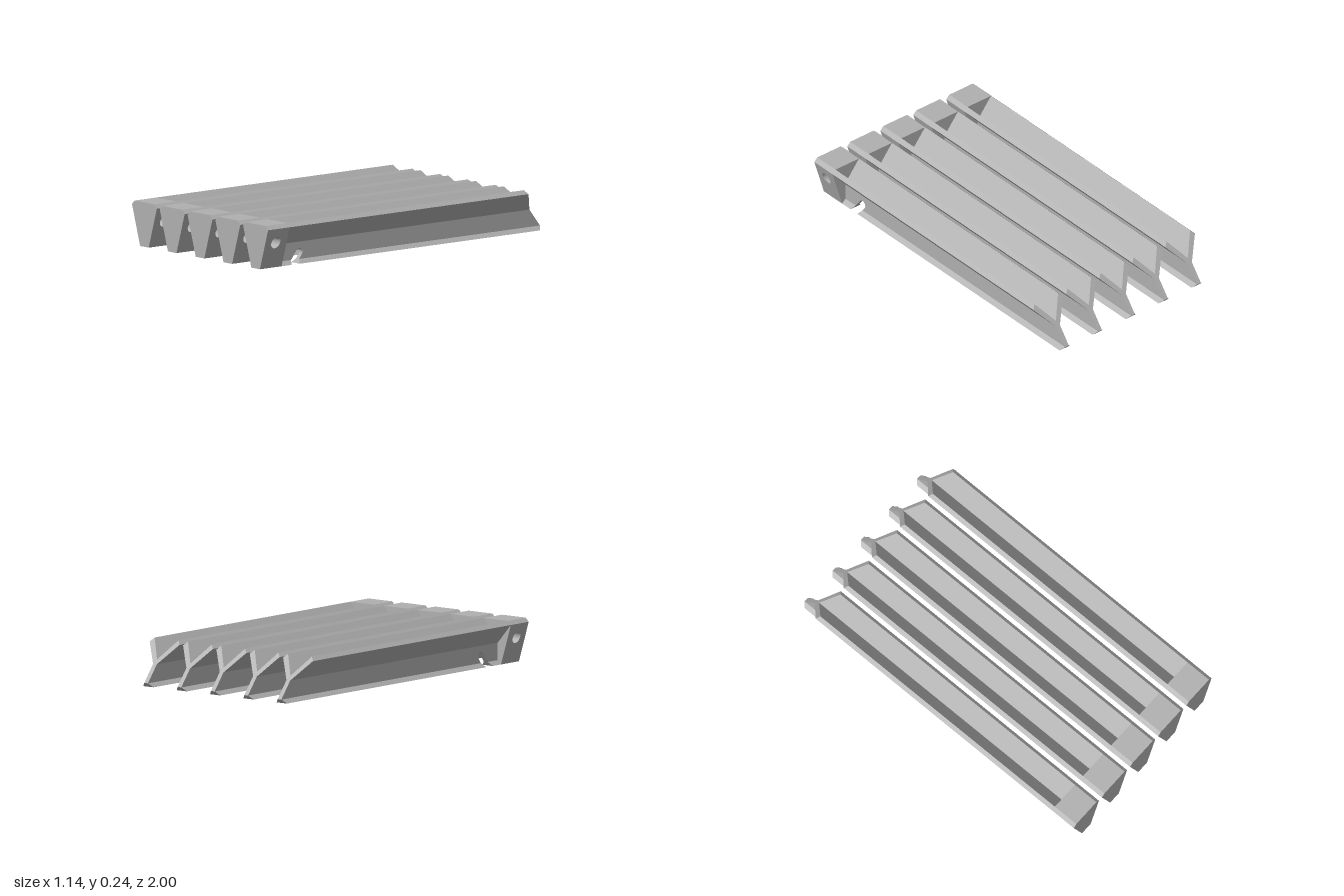
import * as THREE from 'three';

const HEAD_BACK = 0.847, FRONT = 1;
const Y_FOOT = 0.022, Y_FORK = 0.117, Y_RIM = 0.222, Y_TOP = 0.243;
const FOOT_W = 0.036, STEM_W = 0.013, RIM_W = 0.104, TOP_W = 0.083;
const SLOT = { z: 0.703, y: 0.06, r: 0.023, tilt: Math.atan2(0.6, 0.8) };

// slanted tail cut and the two edges of the tilted slot
const tailZ = y => -1 + (y - Y_FOOT) * 0.79;
const slotZ = (y, side) => SLOT.z + side * SLOT.r / 0.8 - (y - SLOT.y) * 0.75;

const polygon = pts => new THREE.Shape(pts.map(p => new THREE.Vector2(p[0], p[1])));

// extrude a shape by one unit, then move each vertex by a rule
function extrudeBy(shape, rule) {
  const geo = new THREE.ExtrudeGeometry(shape, { depth: 1, bevelEnabled: false, curveSegments: 12 });
  const p = geo.attributes.position;
  for (let i = 0; i < p.count; i++) p.setXYZ(i, ...rule(p.getX(i), p.getY(i), p.getZ(i)));
  geo.computeVertexNormals();
  return geo;
}

// side outline in (z, y), spread across x with a half width going from w0 at y0 to w1 at y1
function layer(shape, y0, w0, y1, w1) {
  return extrudeBy(shape, (z, y, t) => [(1 - 2 * t) * (w0 + (w1 - w0) * (y - y0) / (y1 - y0)), y, z]);
}

function box(y0, y1) {
  return polygon([[HEAD_BACK, y0], [FRONT, y0], [FRONT, y1], [HEAD_BACK, y1]]);
}

function barParts() {
  // solid tapered head with a cross hole
  const headSide = box(0, Y_RIM);
  const hole = new THREE.Path();
  hole.absarc(0.925, 0.143, 0.032, 0, Math.PI * 2, true);
  headSide.holes.push(hole);

  // foot, interrupted by the slot
  const footFront = polygon([[slotZ(0, 1), 0], [HEAD_BACK, 0], [HEAD_BACK, Y_FOOT], [slotZ(Y_FOOT, 1), Y_FOOT]]);
  const footBack = polygon([[-0.98, 0], [slotZ(0, -1), 0], [slotZ(Y_FOOT, -1), Y_FOOT], [-1, Y_FOOT]]);

  // upright web with the round end of the slot
  const web = new THREE.Shape();
  web.moveTo(HEAD_BACK, Y_FOOT);
  web.lineTo(slotZ(Y_FOOT, 1), Y_FOOT);
  web.absarc(SLOT.z, SLOT.y, SLOT.r, SLOT.tilt, SLOT.tilt + Math.PI, false);
  web.lineTo(slotZ(Y_FOOT, -1), Y_FOOT);
  web.lineTo(-1, Y_FOOT);
  web.lineTo(tailZ(Y_FORK), Y_FORK);
  web.lineTo(HEAD_BACK, Y_FORK);

  // V-shaped arms along the length, ending at the slanted cut
  const fork = polygon([
    [STEM_W, Y_FORK], [RIM_W, Y_RIM], [TOP_W, Y_TOP], [0, 0.14],
    [-TOP_W, Y_TOP], [-RIM_W, Y_RIM], [-STEM_W, Y_FORK],
  ]);

  return {
    head: layer(headSide, 0, FOOT_W, Y_RIM, RIM_W),
    headCap: layer(box(Y_RIM, Y_TOP), Y_RIM, RIM_W, Y_TOP, TOP_W),
    footFront: layer(footFront, 0, FOOT_W, Y_FOOT, STEM_W),
    footBack: layer(footBack, 0, FOOT_W, Y_FOOT, STEM_W),
    web: layer(web, Y_FOOT, STEM_W, Y_FORK, STEM_W),
    arms: extrudeBy(fork, (x, y, t) => [x, y, tailZ(y) + (HEAD_BACK - tailZ(y)) * t]),
  };
}

export function createModel() {
  const model = new THREE.Group();
  model.name = 'slattedRack';
  const grey = new THREE.MeshStandardMaterial({ color: 0xb0b0b0 });
  grey.name = 'grey';

  // five identical bars side by side
  const parts = barParts();
  for (let i = -2; i <= 2; i++) {
    const bar = new THREE.Group();
    bar.name = `bar${i + 3}`;
    bar.position.x = i * 0.2325;
    for (const [name, geo] of Object.entries(parts)) {
      const mesh = new THREE.Mesh(geo, grey);
      mesh.name = name;
      bar.add(mesh);
    }
    model.add(bar);
  }
  return model;
}
